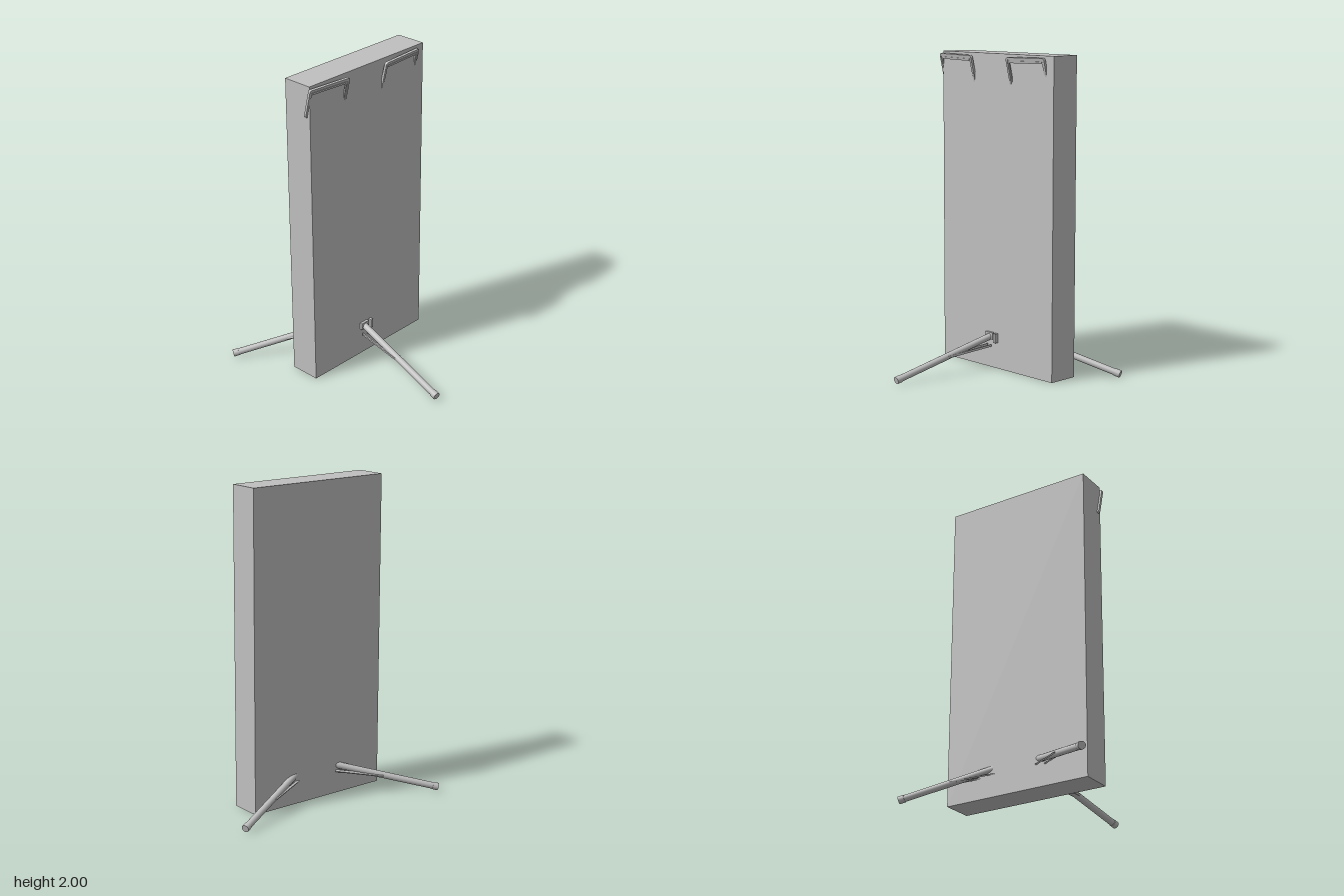
import * as THREE from 'three';

const grey = new THREE.MeshStandardMaterial({ color: 0xc0c0c0 });
grey.name = 'light grey';

function mesh(geometry, name) {
  const m = new THREE.Mesh(geometry, grey);
  m.name = name;
  return m;
}

// Lay a y-aligned geometry between two points
function between(make, a, b, name) {
  const dir = b.clone().sub(a);
  const m = mesh(make(dir.length()), name);
  m.position.copy(a).add(b).multiplyScalar(0.5);
  m.quaternion.setFromUnitVectors(new THREE.Vector3(0, 1, 0), dir.normalize());
  return m;
}
const rod = (r) => (len) => new THREE.CylinderGeometry(r, r, len, 20);

function roundedRect(path, w, h, r) {
  const x = w / 2, y = h / 2;
  path.moveTo(-x + r, -y);
  path.lineTo(x - r, -y);
  path.quadraticCurveTo(x, -y, x, -y + r);
  path.lineTo(x, y - r);
  path.quadraticCurveTo(x, y, x - r, y);
  path.lineTo(-x + r, y);
  path.quadraticCurveTo(-x, y, -x, y - r);
  path.lineTo(-x, -y + r);
  path.quadraticCurveTo(-x, -y, -x + r, -y);
  return path;
}

// Flat rectangular ring, centred on its own origin
function ring(w, h, bar, depth) {
  const shape = roundedRect(new THREE.Shape(), w, h, 0.018);
  shape.holes.push(roundedRect(new THREE.Path(), w - 2 * bar, h - 2 * bar, 0.01));
  const g = new THREE.ExtrudeGeometry(shape, { depth, bevelEnabled: false, curveSegments: 5 });
  return g.translate(0, 0, -depth / 2);
}

// Tilted handle frame: raised outer rim with a thinner inner lip
function handle(x, z, turn) {
  const g = new THREE.Group();
  g.name = 'handle';
  g.add(mesh(ring(0.312, 0.19, 0.013, 0.016), 'handleRim'));
  g.add(mesh(ring(0.29, 0.168, 0.01, 0.009), 'handleLip'));
  const top = mesh(new THREE.BoxGeometry(0.27, 0.014, 0.014), 'handleGrip');
  top.position.y = 0.067;
  g.add(top);
  g.position.set(x, 1.892, z);
  g.rotation.set(0.24, turn, 0);
  return g;
}

// Splayed leg with an end cap and a twin-rail brace underneath
function leg(name, hub, foot) {
  const g = new THREE.Group();
  g.name = name;
  const dir = foot.clone().sub(hub).normalize();
  const side = new THREE.Vector3(-dir.z, 0, dir.x).normalize();
  g.add(between(rod(0.021), hub, foot, 'legTube'));
  g.add(between(rod(0.0235), foot.clone().addScaledVector(dir, -0.036), foot, 'footCap'));
  const low = hub.clone().addScaledVector(dir, 0.02);
  low.y = 0.145;
  const mid = hub.clone().lerp(foot, 0.48);
  for (const s of [-1, 1]) {
    const off = side.clone().multiplyScalar(0.019 * s);
    g.add(between((len) => new THREE.BoxGeometry(0.009, len, 0.014),
      low.clone().add(off), mid.clone().add(off), 'braceRail'));
  }
  return g;
}

export function createModel() {
  const model = new THREE.Group();
  model.name = 'panelStand';

  const panel = mesh(new THREE.BoxGeometry(0.98, 2, 0.2), 'panel');
  panel.position.set(-0.012, 1, -0.164);
  model.add(panel);

  model.add(handle(-0.36, -0.063, -0.06));
  model.add(handle(0.262, -0.06, 0.05));

  const v = (x, y, z) => new THREE.Vector3(x, y, z);
  model.add(leg('frontLeg', v(-0.06, 0.205, -0.07), v(-0.155, 0.026, 0.65)));
  model.add(leg('backLeftLeg', v(0.13, 0.19, -0.235), v(0.695, 0.026, -0.455)));
  model.add(leg('backRightLeg', v(-0.15, 0.185, -0.235), v(-0.69, 0.026, -0.638)));

  // Hinge block and small latch on the panel front
  const hinge = mesh(new THREE.BoxGeometry(0.064, 0.045, 0.03), 'hinge');
  hinge.position.set(-0.063, 0.207, -0.062);
  model.add(hinge);
  const latch = mesh(new THREE.BoxGeometry(0.018, 0.06, 0.03), 'latch');
  latch.position.set(-0.007, 0.198, -0.055);
  model.add(latch);

  return model;
}
